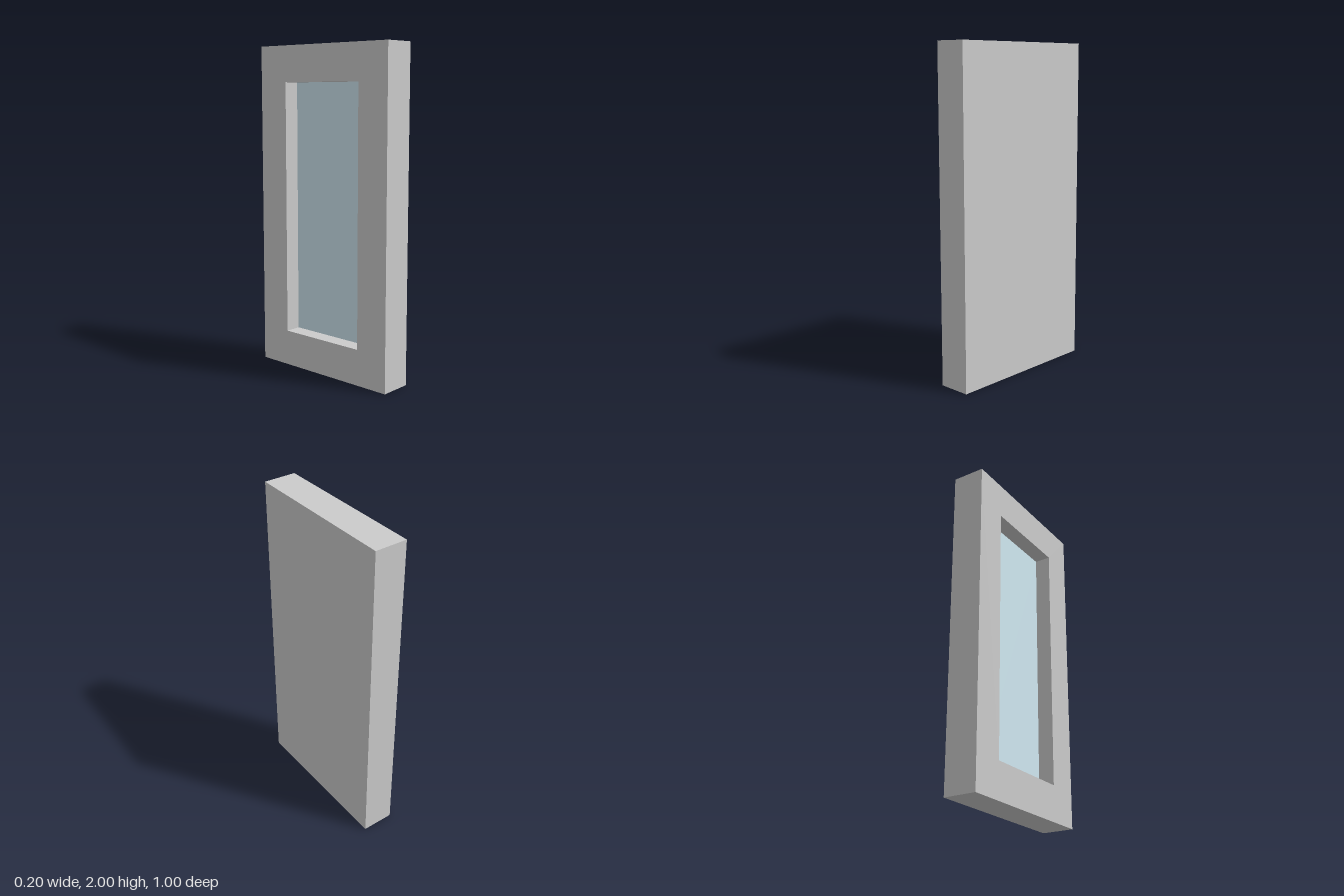
import * as THREE from 'three';

const WIDTH = 1, HEIGHT = 2, THICKNESS = 0.2;
const PANE_WIDTH = 0.58, PANE_HEIGHT = 1.56, RECESS = 0.1;

// Four corners of an upright rectangle facing along x, centred on the panel
function ring(x, width, height) {
  const w = width / 2, h = height / 2, mid = HEIGHT / 2;
  return [[x, mid - h, -w], [x, mid - h, w], [x, mid + h, w], [x, mid + h, -w]];
}

// Slab with a recess in one broad face, skinned across successive rectangles
function recessedPanelGeometry() {
  const face = -THICKNESS / 2;
  const rings = [
    ring(THICKNESS / 2, WIDTH, HEIGHT), // plain face
    ring(face, WIDTH, HEIGHT), // outer edges
    ring(face, PANE_WIDTH, PANE_HEIGHT), // frame border
    ring(face + RECESS, PANE_WIDTH, PANE_HEIGHT), // recess walls
  ];
  const points = [];
  const quad = (a, b, c, d) => points.push(a, b, c, a, c, d);

  const [p, q, r, s] = rings[0];
  quad(p, s, r, q);
  for (let k = 0; k < rings.length - 1; k++) {
    const a = rings[k], b = rings[k + 1];
    for (let i = 0; i < 4; i++) {
      const j = (i + 1) % 4;
      quad(a[i], a[j], b[j], b[i]);
    }
  }

  const geometry = new THREE.BufferGeometry();
  geometry.setAttribute('position', new THREE.Float32BufferAttribute(points.flat(), 3));
  geometry.computeVertexNormals();
  return geometry;
}

export function createModel() {
  const group = new THREE.Group();
  group.name = 'framedPanel';

  // Frame, solid backing and recess walls
  const frame = new THREE.Mesh(
    recessedPanelGeometry(),
    new THREE.MeshStandardMaterial({ color: 0xcccccc })
  );
  frame.name = 'frame';
  group.add(frame);

  // Pale blue pane at the bottom of the recess
  const pane = new THREE.Mesh(
    new THREE.PlaneGeometry(PANE_WIDTH, PANE_HEIGHT),
    new THREE.MeshStandardMaterial({ color: 0xd0e8f1 })
  );
  pane.name = 'pane';
  pane.rotation.y = -Math.PI / 2;
  pane.position.set(RECESS - THICKNESS / 2, HEIGHT / 2, 0);
  group.add(pane);

  return group;
}
